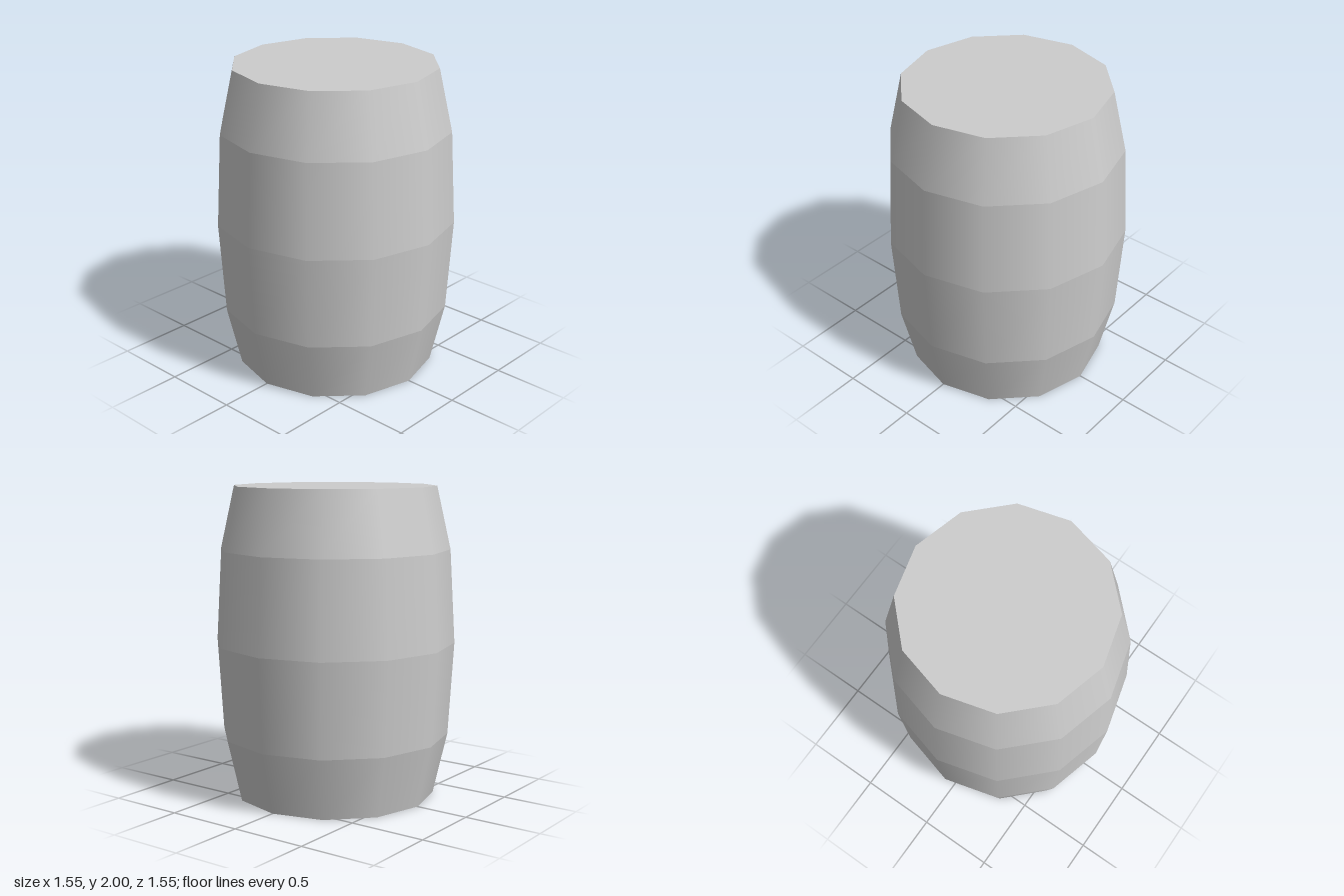
import * as THREE from 'three';

const SIDES = 12;
// Barrel profile from bottom to top: [radius, height]
const PROFILE = [[0.65, 0], [0.74, 0.4], [0.775, 1], [0.74, 1.6], [0.65, 2]];

export function createModel() {
  const barrel = new THREE.Group();
  barrel.name = 'barrel';
  const grey = new THREE.MeshStandardMaterial({ color: 0xcccccc });
  grey.name = 'light grey';

  const add = (name, geometry, y) => {
    const mesh = new THREE.Mesh(geometry, grey);
    mesh.name = name;
    mesh.position.y = y;
    barrel.add(mesh);
    return mesh;
  };

  // Wall bands: smooth around the barrel, with a crease between bands
  const bands = ['lowerBand', 'lowerMiddleBand', 'upperMiddleBand', 'upperBand'];
  bands.forEach((name, i) => {
    const [r0, y0] = PROFILE[i];
    const [r1, y1] = PROFILE[i + 1];
    add(name, new THREE.CylinderGeometry(r1, r0, y1 - y0, SIDES, 1, true), (y0 + y1) / 2);
  });

  // Flat lid and base
  add('lid', new THREE.CircleGeometry(0.65, SIDES), 2).rotation.x = -Math.PI / 2;
  add('base', new THREE.CircleGeometry(0.65, SIDES), 0).rotation.x = Math.PI / 2;

  return barrel;
}
